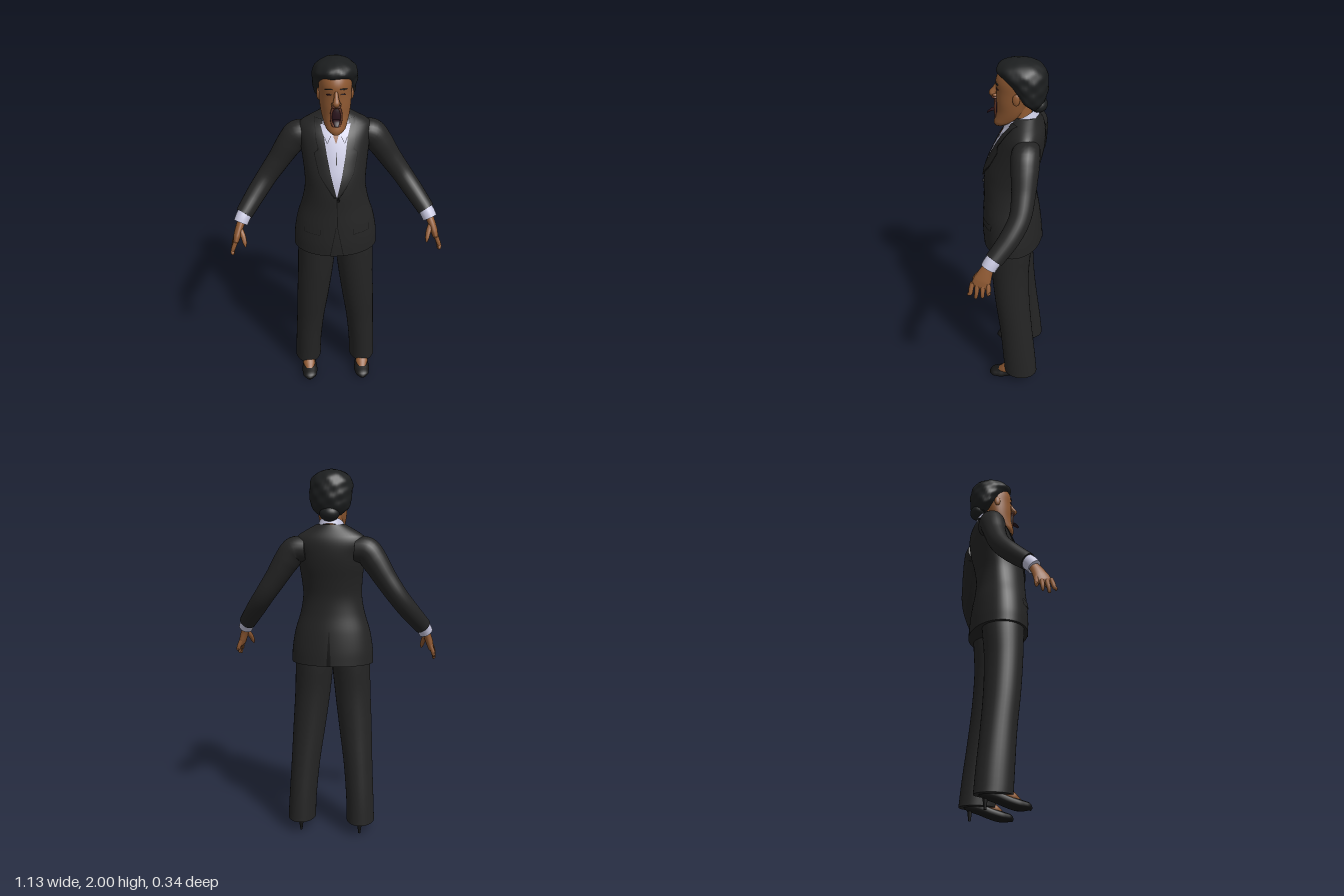
import * as THREE from 'three';

const mat = (name, color, double) => {
  const m = new THREE.MeshStandardMaterial({ color });
  m.name = name;
  if (double) m.side = THREE.DoubleSide;
  return m;
};
const V = (x, y, z) => new THREE.Vector3(x, y, z);

// Closed skin over a list of rings, with flat end caps
function skin(rings, caps = true) {
  const n = rings[0].length, pos = [], idx = [];
  rings.forEach(r => r.forEach(p => pos.push(p.x, p.y, p.z)));
  for (let i = 0; i < rings.length - 1; i++) for (let j = 0; j < n; j++) {
    const a = i * n + j, b = i * n + (j + 1) % n;
    idx.push(a, b, b + n, a, b + n, a + n);
  }
  if (caps) [rings[0], rings[rings.length - 1]].forEach((r, end) => {
    const base = pos.length / 3, c = V(0, 0, 0);
    r.forEach(p => { pos.push(p.x, p.y, p.z); c.addScaledVector(p, 1 / n); });
    pos.push(c.x, c.y, c.z);
    for (let j = 0; j < n; j++) {
      const a = base + j, b = base + (j + 1) % n;
      end ? idx.push(a, b, base + n) : idx.push(b, a, base + n);
    }
  });
  const g = new THREE.BufferGeometry();
  g.setAttribute('position', new THREE.Float32BufferAttribute(pos, 3));
  g.setIndex(idx);
  g.computeVertexNormals();
  return g;
}

// Smooth lookup in a table whose first column is the height
function lookup(table, y) {
  let i = 0;
  while (i < table.length - 2 && y > table[i + 1][0]) i++;
  const at = k => table[Math.min(Math.max(k, 0), table.length - 1)];
  const p1 = at(i), p2 = at(i + 1), h = p2[0] - p1[0], t = (y - p1[0]) / h;
  const slope = (k, c) => (at(k + 1)[c] - at(k - 1)[c]) / (at(k + 1)[0] - at(k - 1)[0]) * h;
  return p1.map((v, c) => c === 0 ? y :
    (2 * t ** 3 - 3 * t * t + 1) * v + (t ** 3 - 2 * t * t + t) * slope(i, c) +
    (3 * t * t - 2 * t ** 3) * p2[c] + (t ** 3 - t * t) * slope(i + 1, c));
}

// Upright body: rows are [y, half width, front z, back z, z of widest point, centre x]
function upright(table, steps, sides = 36, bump = () => 1) {
  const y0 = table[0][0], y1 = table[table.length - 1][0];
  return skin(Array.from({ length: steps + 1 }, (_, i) => {
    const [y, w, f, b, zc, cx = 0] = lookup(table, y0 + (y1 - y0) * i / steps);
    return Array.from({ length: sides }, (_, j) => {
      const a = j / sides * Math.PI * 2, c = Math.cos(a), k = bump(a, y);
      return V(cx + Math.sin(a) * w * k, y, zc + c * k * (c > 0 ? f - zc : zc - b));
    });
  }));
}

// Limb along a curve: points are [x, y, z, radius along ref, radius across]
function sweep(pts, ref, steps = 20, sides = 18) {
  const curve = new THREE.CatmullRomCurve3(pts.map(p => V(...p.slice(0, 3))));
  return skin(Array.from({ length: steps + 1 }, (_, i) => {
    const t = i / steps, f = t * (pts.length - 1), k = Math.min(Math.floor(f), pts.length - 2);
    const rad = c => THREE.MathUtils.lerp(pts[k][c] ?? pts[k][3], pts[k + 1][c] ?? pts[k + 1][3], f - k);
    const o = curve.getPoint(t), T = curve.getTangent(t);
    const U = ref.clone().addScaledVector(T, -ref.dot(T)).normalize(), W = T.clone().cross(U);
    return Array.from({ length: sides }, (_, j) => {
      const a = j / sides * Math.PI * 2;
      return o.clone().addScaledVector(U, Math.cos(a) * rad(3)).addScaledVector(W, Math.sin(a) * rad(4));
    });
  }));
}

const TORSO = [
  [0.975, .225, .165, -.155, 0], [1.05, .222, .168, -.15, 0], [1.15, .205, .165, -.138, 0],
  [1.25, .175, .16, -.122, 0], [1.34, .16, .158, -.118, -.005], [1.42, .163, .145, -.13, -.02],
  [1.5, .172, .115, -.148, -.04], [1.56, .178, .088, -.157, -.05], [1.62, .188, .055, -.157, -.07],
  [1.66, .176, .025, -.148, -.07], [1.69, .13, .01, -.132, -.065], [1.72, .075, 0, -.118, -.06]];

// Thin cloth panel lying on the torso: rows are [y, x start, x end]
function panel(rows, lift, back = false) {
  const pos = [], idx = [], cols = 6, steps = 24;
  const y0 = rows[0][0], y1 = rows[rows.length - 1][0];
  for (let i = 0; i <= steps; i++) {
    const y = y0 + (y1 - y0) * i / steps;
    let k = 0;
    while (k < rows.length - 2 && y > rows[k + 1][0]) k++;
    const t = (y - rows[k][0]) / (rows[k + 1][0] - rows[k][0]);
    const [, w, f, b, zc] = lookup(TORSO, y);
    for (let j = 0; j <= cols; j++) {
      const e = c => THREE.MathUtils.lerp(rows[k][c], rows[k + 1][c], t);
      const x = THREE.MathUtils.lerp(e(1), e(2), j / cols);
      const d = Math.sqrt(Math.max(0, 1 - (x / w) ** 2));
      pos.push(x, y, back ? zc - (zc - b) * d - lift : zc + (f - zc) * d + lift);
      if (i < steps && j < cols) {
        const a = i * (cols + 1) + j, c = a + cols + 1;
        back ? idx.push(a, c + 1, a + 1, a, c, c + 1) : idx.push(a, a + 1, c + 1, a, c + 1, c);
      }
    }
  }
  const g = new THREE.BufferGeometry();
  g.setAttribute('position', new THREE.Float32BufferAttribute(pos, 3));
  g.setIndex(idx);
  g.computeVertexNormals();
  return g;
}

export function createModel() {
  const root = new THREE.Group();
  root.name = 'womanInSuit';
  const suit = mat('suitCloth', 0x242424, true), seam = mat('seam', 0x121212, true);
  const shirt = mat('shirtCloth', 0xc4c4dc, true), flesh = mat('skin', 0x8f5932, true);
  const hair = mat('hair', 0x1c1e1f), mouth = mat('mouth', 0x2a141c);
  const lip = mat('lips', 0x6a3a2a), shoe = mat('shoeLeather', 0x161616);
  const add = (name, geo, m) => {
    const mesh = new THREE.Mesh(geo, m);
    mesh.name = name;
    root.add(mesh);
    return mesh;
  };
  const ball = (name, m, x, y, z, rx, ry, rz) => {
    const b = add(name, new THREE.SphereGeometry(1, 24, 16), m);
    b.position.set(x, y, z);
    b.scale.set(rx, ry, rz);
    return b;
  };
  const Z = V(0, 0, 1), X = V(1, 0, 0);

  // Jacket body, shirt front and seams
  add('jacket', upright(TORSO, 48, 48), suit);
  add('shirtFront', panel([[1.34, -.003, .003], [1.45, -.032, .032], [1.55, -.052, .052], [1.69, -.07, .07]], .004), shirt);
  add('openNeck', panel([[1.6, -.002, .002], [1.69, -.035, .035]], .007), flesh);
  add('shirtPlacket', panel([[1.5, -.002, .002], [1.56, -.002, .002]], .006), seam);
  add('jacketClosure', panel([[1.16, .002, .006], [1.34, -.002, .002]], .003), seam);
  add('backVent', panel([[.977, -.012, .012], [1.16, -.002, .002]], .003, true), seam);
  const button = add('button', new THREE.CylinderGeometry(.008, .008, .008, 12).rotateX(Math.PI / 2), seam);
  button.position.set(.008, 1.32, .162);

  // Shirt collar, low in front and high behind
  const collarRing = (w, y, dy, d) => Array.from({ length: 32 }, (_, j) => {
    const a = j / 32 * Math.PI * 2;
    return V(w * Math.sin(a), y - dy * Math.cos(a), -.035 + d * Math.cos(a));
  });
  add('shirtCollar', skin([collarRing(.078, 1.68, .045, .09), collarRing(.066, 1.72, .04, .076)], false), shirt);

  // Neck and head
  add('neck', sweep([[0, 1.6, -.045, .062], [0, 1.68, -.035, .057], [0, 1.78, -.025, .058]], Z), flesh);
  add('head', upright([
    [1.653, .022, .096, .05, .07], [1.67, .045, .101, .02, .055], [1.7, .06, .094, -.03, .02],
    [1.74, .071, .085, -.06, 0], [1.79, .078, .086, -.08, -.01], [1.84, .081, .086, -.1, -.02],
    [1.9, .081, .087, -.11, -.02], [1.95, .068, .06, -.1, -.02], [1.98, .03, .02, -.06, -.02]], 30), flesh);
  add('hair', upright([
    [1.765, .055, -.08, -.13, -.1], [1.8, .094, -.045, -.152, -.085], [1.85, .108, -.005, -.164, -.07],
    [1.9, .112, .035, -.164, -.055], [1.94, .108, .082, -.156, -.045], [1.97, .088, .076, -.135, -.035],
    [1.99, .055, .042, -.1, -.03], [2, .015, 0, -.05, -.025]], 36, 48,
    (a, y) => 1 + .018 * Math.sin(9 * a + 70 * y) + .012 * Math.sin(5 * a - 110 * y)), hair);
  ball('bun', hair, 0, 1.775, -.12, .052, .04, .044);
  add('nose', sweep([[0, 1.875, .08, .008], [0, 1.845, .094, .012], [0, 1.822, .105, .019], [0, 1.808, .1, .012]], X), flesh);
  ball('upperLip', lip, 0, 1.803, .092, .024, .01, .019);
  ball('openMouth', mouth, 0, 1.748, .084, .025, .055, .013);
  const rim = add('lipRim', new THREE.TorusGeometry(.026, .005, 8, 28), lip);
  rim.position.set(0, 1.748, .09);
  rim.scale.y = 2.1;
  add('tongue', sweep([[0, 1.735, .085, .016, .005], [0, 1.732, .11, .018, .005], [0, 1.715, .133, .01, .003]], X), mouth);

  for (const s of [-1, 1]) {
    const side = s > 0 ? 'left' : 'right';
    const put = (name, geo, m) => add(side + name, geo, m);
    const strip = (rows, lift, back) => panel(rows.map(([y, a, b]) => [y, a * s, b * s]), lift, back);
    const limb = (pts, ref, steps, sides) => sweep(pts.map(([x, ...r]) => [x * s, ...r]), ref, steps, sides);

    // Lapels, collar points, pocket flaps and hem opening
    put('LapelEdge', strip([[1.335, 0, .016], [1.45, .028, .089], [1.55, .048, .112], [1.57, .05, .088], [1.6, .056, .1], [1.7, .066, .106]], .006), seam);
    put('Lapel', strip([[1.345, .002, .012], [1.45, .03, .085], [1.55, .05, .108], [1.57, .052, .084], [1.6, .058, .096], [1.7, .068, .103]], .0095), suit);
    put('CollarPoint', strip([[1.6, .042, .046], [1.64, .02, .064], [1.68, .03, .076]], .012), shirt);
    put('PocketEdge', strip([[1.105, .085, .172], [1.14, .085, .172]], .003), seam);
    put('PocketFlap', strip([[1.109, .087, .17], [1.144, .087, .17]], .006), suit);
    put('HemOpening', strip([[.977, .034, .038], [1.16, .002, .005]], .003), seam);

    // Face details
    const eye = ball(side + 'Eye', mouth, s * .034, 1.857, .0765, .015, .0035, .004);
    eye.rotation.set(0, s * .4, -s * .12);
    const brow = ball(side + 'Brow', hair, s * .036, 1.884, .078, .02, .003, .004);
    brow.rotation.set(0, s * .4, -s * .1);
    ball(side + 'Nostril', flesh, s * .014, 1.815, .092, .01, .008, .012);
    ball(side + 'Ear', flesh, s * .082, 1.825, -.02, .01, .03, .018);

    // Sleeve, cuff and hand
    put('Sleeve', limb([[.13, 1.59, -.08, .066], [.19, 1.585, -.08, .072], [.235, 1.53, -.082, .069],
      [.29, 1.445, -.084, .06], [.36, 1.345, -.075, .054], [.42, 1.265, -.035, .052], [.488, 1.178, .033, .046]], Z, 36, 24), suit);
    put('Cuff', limb([[.475, 1.195, .02, .039], [.494, 1.165, .045, .04], [.507, 1.14, .06, .039]], Z, 6), shirt);
    put('Palm', limb([[.497, 1.16, .048, .026, .022], [.514, 1.12, .07, .034, .021], [.528, 1.08, .086, .044, .02],
      [.536, 1.05, .096, .046, .016], [.54, 1.035, .1, .034, .008]], Z), flesh);
    for (let i = 0; i < 4; i++) {
      const z = .057 + i * .026, tip = [1.015, .985, .977, .995][i], tz = .05 + i * .034;
      put('Finger' + (i + 1), limb([[.535, 1.065, z, .012], [.547, 1.035, (z * 2 + tz) / 3, .012],
        [.555, 1.012, (z + tz) / 2, .0105], [.554, tip + .008, tz, .009], [.551, tip, tz + .001, .003]], Z, 12, 10), flesh);
    }
    put('Thumb', limb([[.51, 1.115, .085, .014], [.495, 1.085, .112, .014], [.487, 1.055, .132, .011],
      [.484, 1.035, .142, .004]], Z, 12, 10), flesh);

    // Trouser leg: rows as for the torso, ending with the centre x
    const leg = [[.07, .078, .035, -.16, .168], [.2, .077, .045, -.148, .163], [.4, .081, .063, -.125, .149],
      [.6, .091, .09, -.106, .131], [.8, .099, .11, -.098, .113], [.97, .104, .12, -.108, .102], [1.05, .1, .12, -.108, .1]];
    put('TrouserLeg', upright(leg.map(([y, w, f, b, cx]) => [y, w, f, b, (f + b) / 2, cx * s]), 28, 32), suit);

    // Foot and heeled shoe with a flat sole
    const shoeGeo = limb([[.163, .014, .127, .012, .008], [.163, .024, .108, .038, .02], [.162, .03, .06, .048, .028],
      [.164, .046, .005, .041, .03], [.166, .068, -.05, .035, .033], [.167, .082, -.105, .031, .034], [.167, .085, -.13, .014, .02]], X, 28);
    const p = shoeGeo.attributes.position;
    for (let i = 0; i < p.count; i++) p.setY(i, Math.max(p.getY(i), .004));
    shoeGeo.computeVertexNormals();
    put('Shoe', shoeGeo, shoe);
    put('Foot', limb([[.163, .045, .068, .022, .012], [.164, .062, .035, .036, .024], [.166, .085, -.01, .036, .036],
      [.167, .13, -.06, .034, .036]], X), flesh);
    const heel = put('Heel', new THREE.CylinderGeometry(.016, .006, .075, 12), shoe);
    heel.position.set(s * .167, .0375, -.102);
  }
  return root;
}
